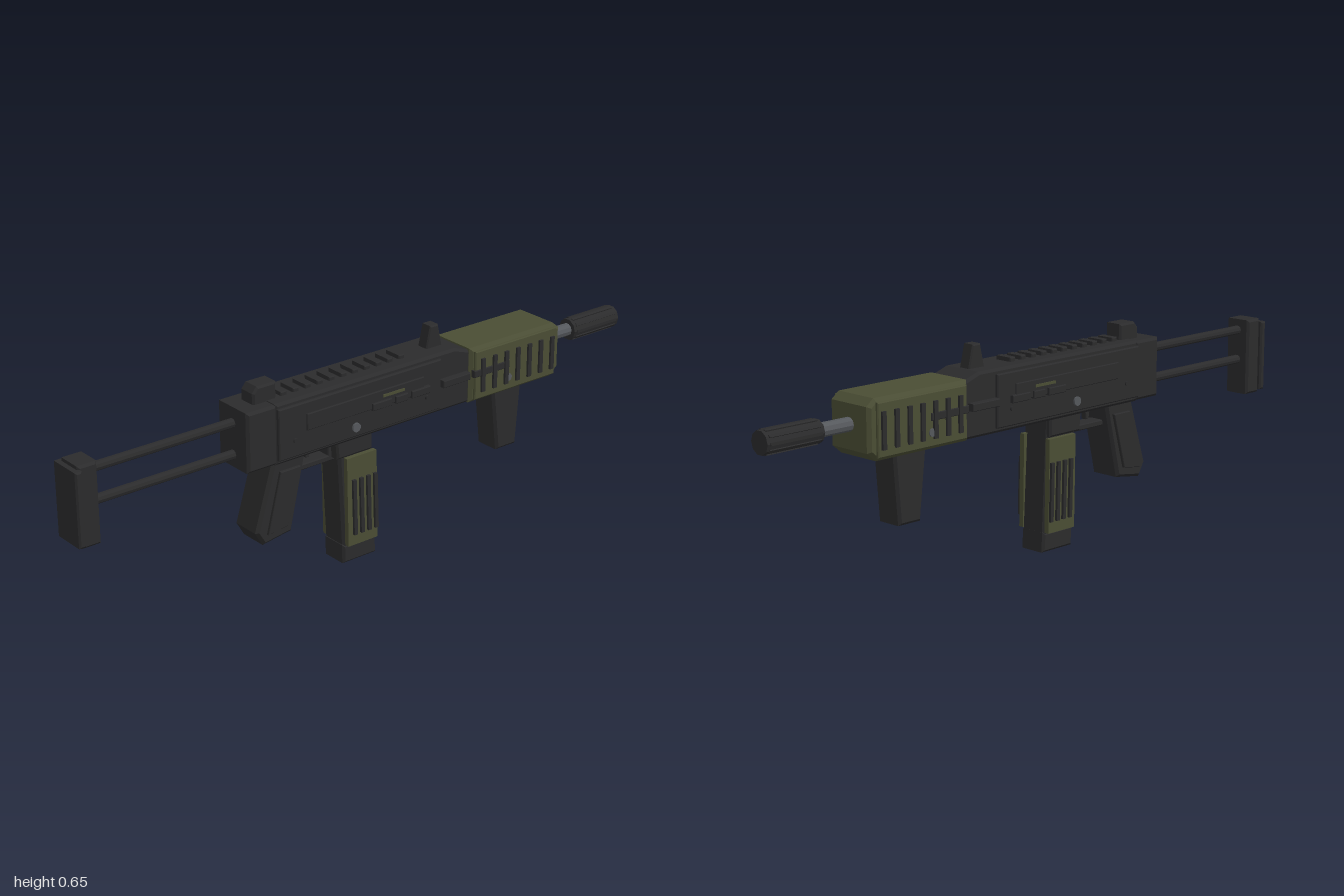
import * as THREE from 'three';

const black = new THREE.MeshStandardMaterial({ color: 0x2b2b2c });
black.name = 'matte black';
const green = new THREE.MeshStandardMaterial({ color: 0x4a4d34 });
green.name = 'olive green';
const steel = new THREE.MeshStandardMaterial({ color: 0x55585c });
steel.name = 'steel grey';

export function createModel() {
  const model = new THREE.Group();
  model.name = 'compactRifle';

  const add = (name, geometry, material) => {
    const mesh = new THREE.Mesh(geometry, material);
    mesh.name = name;
    model.add(mesh);
    return mesh;
  };

  // Side profile extruded across z, with a chamfer kept inside the outline
  const slab = (name, material, points, halfWidth, bevel = 0.008, z = 0) => {
    const shape = new THREE.Shape(points.map(([x, y]) => new THREE.Vector2(x, y)));
    const geometry = new THREE.ExtrudeGeometry(shape, {
      depth: 2 * (halfWidth - bevel), bevelEnabled: bevel > 0,
      bevelThickness: bevel, bevelSize: bevel, bevelOffset: -bevel, bevelSegments: 1,
    });
    geometry.translate(0, 0, z - halfWidth + bevel);
    return add(name, geometry, material);
  };

  const rect = (x0, x1, y0, y1) => [[x0, y0], [x1, y0], [x1, y1], [x0, y1]];

  // Thin plates on both sides, between depths z0 and z1
  const sidePlates = (name, material, points, z0, z1, bevel = 0) => {
    for (const s of [1, -1]) {
      slab(name + (s > 0 ? 'Front' : 'Back'), material, points, (z1 - z0) / 2, bevel, s * (z0 + z1) / 2);
    }
  };

  // Faceted rod along x
  const rod = (name, material, x0, x1, y, r, sides = 10) => {
    const geometry = new THREE.CylinderGeometry(r, r, x1 - x0, sides).toNonIndexed();
    geometry.computeVertexNormals();
    geometry.rotateZ(Math.PI / 2).translate((x0 + x1) / 2, y, 0);
    return add(name, geometry, material);
  };

  // Receiver with rear block and raised side panels
  slab('receiver', black, [[-0.37, 0.4], [0.345, 0.4], [0.345, 0.565], [0.285, 0.585], [-0.37, 0.585]], 0.07);
  slab('rearBlock', black, rect(-0.465, -0.362, 0.402, 0.583), 0.069);
  sidePlates('sidePanel', black, rect(-0.365, 0.225, 0.415, 0.57), 0.066, 0.079, 0.003);
  sidePlates('recessPlate', black, rect(-0.27, 0.155, 0.485, 0.535), 0.076, 0.084, 0.002);
  sidePlates('boltCover', green, rect(0, 0.08, 0.513, 0.521), 0.081, 0.087);
  for (const [x0, x1] of [[-0.04, 0.03], [0.045, 0.09], [0.105, 0.175], [0.225, 0.33], [0.345, 0.485]]) {
    sidePlates('operatingBar', black, rect(x0, x1, 0.482, 0.504), 0.066, 0.091, 0.002);
  }

  // Pins
  for (const [x, y, r, z, m] of [[-0.095, 0.445, 0.014, 0.081, steel], [0.482, 0.45, 0.012, 0.088, steel],
    [-0.31, 0.465, 0.007, 0.08, black], [0.17, 0.465, 0.007, 0.08, black]]) {
    for (const s of [1, -1]) {
      const pin = new THREE.CylinderGeometry(r, r, 0.008, 10).rotateX(Math.PI / 2).translate(x, y, s * z);
      add('pin', pin, m);
    }
  }

  // Top rail and sights
  for (let i = 0; i < 11; i++) {
    const x = -0.31 + i * 0.0425;
    slab('railTooth', black, rect(x - 0.011, x + 0.011, 0.578, 0.597), 0.03, 0.003);
  }
  slab('rearSight', black, [[-0.415, 0.575], [-0.335, 0.575], [-0.335, 0.633], [-0.4, 0.633], [-0.415, 0.615]], 0.03, 0.006);
  slab('frontSight', black, [[0.215, 0.575], [0.28, 0.575], [0.262, 0.652], [0.232, 0.652]], 0.02, 0.004);

  // Handguard, its side plates and dark vents
  slab('handguard', green, [[0.338, 0.4], [0.67, 0.4], [0.7, 0.425], [0.7, 0.552], [0.675, 0.572], [0.338, 0.572]], 0.08, 0.01);
  sidePlates('handguardPlate', green, rect(0.35, 0.675, 0.41, 0.562), 0.076, 0.088, 0.003);
  for (let i = 0; i < 7; i++) {
    const x = 0.378 + i * 0.0465;
    sidePlates('handguardVent', black, rect(x - 0.007, x + 0.007, 0.432, 0.537), 0.086, 0.095);
  }

  // Barrel and fluted muzzle
  rod('barrel', steel, 0.68, 0.83, 0.495, 0.02);
  rod('muzzle', black, 0.81, 1, 0.495, 0.034);
  for (let i = 0; i < 10; i++) {
    const a = (i + 0.5) * Math.PI / 5;
    const rib = new THREE.BoxGeometry(0.17, 0.006, 0.009).translate(0, 0.033, 0).rotateX(a);
    add('muzzleRib', rib.translate(0.905, 0.495, 0), black);
  }

  // Foregrip
  slab('foregrip', black, [[0.485, 0.193], [0.565, 0.193], [0.582, 0.41], [0.46, 0.41]], 0.045);

  // Magazine well, magazine, ribbed green panels
  slab('magazineWell', black, [[-0.14, 0.345], [-0.012, 0.345], [-0.012, 0.41], [-0.145, 0.41]], 0.054, 0.006);
  slab('magazine', black, [[-0.113, 0.05], [0.006, 0.05], [-0.012, 0.4], [-0.132, 0.4]], 0.045);
  slab('magazineBase', black, [[-0.114, 0], [0.01, 0], [0.006, 0.06], [-0.116, 0.06]], 0.046, 0.007);
  sidePlates('magazinePanel', green, [[-0.107, 0.06], [0.002, 0.06], [-0.003, 0.342], [-0.112, 0.342]], 0.044, 0.06);
  for (let i = 0; i < 4; i++) {
    const x = -0.09 + i * 0.026;
    sidePlates('magazineSlot', black, [[x, 0.095], [x + 0.012, 0.095], [x + 0.007, 0.272], [x - 0.005, 0.272]], 0.059, 0.068);
  }

  // Pistol grip with raised panels
  slab('pistolGrip', black, [[-0.405, 0.157], [-0.305, 0.172], [-0.25, 0.41], [-0.365, 0.41], [-0.43, 0.2]], 0.053, 0.009);
  sidePlates('gripPanel', black, [[-0.395, 0.19], [-0.325, 0.2], [-0.278, 0.372], [-0.348, 0.372]], 0.05, 0.062, 0.002);

  // Trigger guard and trigger
  slab('triggerGuard', black, rect(-0.27, -0.13, 0.335, 0.353), 0.025, 0.003);
  slab('guardPost', black, rect(-0.152, -0.135, 0.34, 0.41), 0.025, 0.003);
  slab('trigger', black, [[-0.222, 0.362], [-0.21, 0.36], [-0.205, 0.41], [-0.23, 0.41]], 0.01, 0.002);

  // Sliding stock
  for (const y of [0.535, 0.44]) rod('stockRod', black, -0.95, -0.45, y, 0.014);
  slab('stockBlock', black, rect(-0.985, -0.925, 0.33, 0.57), 0.043, 0.007);
  slab('buttPad', black, rect(-1, -0.978, 0.34, 0.56), 0.055, 0.005);

  return model;
}
